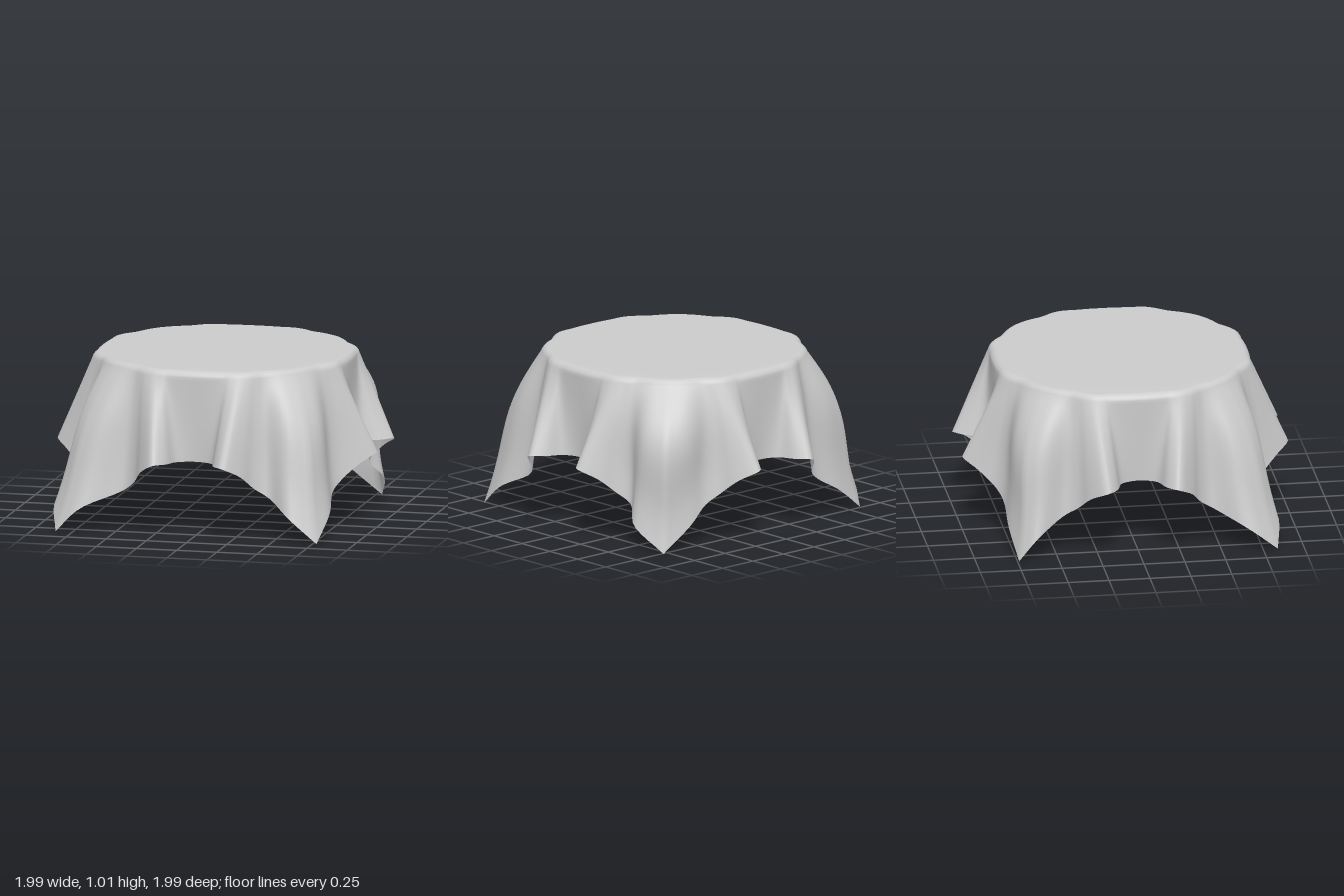
import * as THREE from 'three';

const TOP = 1.01, ROLL = 0.05;
const SIDE_STEPS = 72, SKIRT_ROWS = 28, ROLL_ROWS = 6;

// One half of a hem side: [along, outward, height, rim angle in degrees, rim radius, share of corner bulge]
const HALF_HEM = [
  [0.46, 0.78, 0.252, 31, 0.79, 0.3],
  [0.375, 0.82, 0.315, 27, 0.798, 0.15],
  [0.31, 0.91, 0.40, 23.5, 0.808, 0.1],
  [0.215, 0.995, 0.46, 19.5, 0.812, 0],
  [0.15, 0.93, 0.46, 15.5, 0.802, 0],
  [0.105, 0.81, 0.455, 11.5, 0.79, 0],
];

// Hanging corners in plan (x, z): the tip, the hem beside it, and how far the cloth billows
const CORNERS = [
  { before: [-0.90, 0.66], tip: [-0.855, 0.84], after: [-0.70, 0.865], bulge: 0.045 },
  { before: [0.61, 0.89], tip: [0.775, 0.86], after: [0.81, 0.67], bulge: 0.05 },
  { before: [0.845, -0.56], tip: [0.785, -0.76], after: [0.58, -0.785], bulge: 0.11 },
  { before: [-0.64, -0.775], tip: [-0.845, -0.74], after: [-0.88, -0.63], bulge: 0.065 },
];

// Hem curve of one side of the cloth, with matching rim angles, rim radii and bulges
function hemSide(k) {
  const turn = k * Math.PI / 2;
  const s = Math.round(Math.sin(turn)), c = Math.round(Math.cos(turn));
  const start = CORNERS[k], end = CORNERS[(k + 1) % 4];
  const points = [], fall = [];
  const add = (x, y, z, deg, edge, bulge) => {
    points.push(new THREE.Vector3(x, y, z));
    fall.push(new THREE.Vector3(turn + THREE.MathUtils.degToRad(deg), edge, bulge));
  };
  const addLocal = (along, out, y, deg, edge, bulge) =>
    add(along * c + out * s, y, out * c - along * s, deg, edge, bulge);

  add(start.tip[0], 0, start.tip[1], -45, 0.81, start.bulge);
  add(start.after[0], 0.15, start.after[1], -38, 0.803, start.bulge * 0.8);
  for (const [a, o, y, d, e, b] of HALF_HEM) addLocal(-a, o, y, -d, e, b * start.bulge);
  addLocal(0, 0.772, 0.455, 0, 0.782, 0);
  for (const [a, o, y, d, e, b] of [...HALF_HEM].reverse()) addLocal(a, o, y, d, e, b * end.bulge);
  add(end.before[0], 0.15, end.before[1], 38, 0.803, end.bulge * 0.8);
  add(end.tip[0], 0, end.tip[1], 45, 0.81, end.bulge);
  return {
    hem: new THREE.CatmullRomCurve3(points),
    fall: new THREE.CatmullRomCurve3(fall, false, 'catmullrom'),
  };
}

// One strand of cloth from the table centre, over the rim and down to the hem
function strand(hem, angle, edge, bulge) {
  const dx = Math.sin(angle), dz = Math.cos(angle);
  const at = (r, y) => new THREE.Vector3(dx * r, y, dz * r);
  const line = [0, 0.35, 0.6].map((r) => at(r, TOP));
  for (let i = 0; i <= ROLL_ROWS; i++) {
    const a = (i / ROLL_ROWS) * Math.PI * 0.42;
    line.push(at(edge - ROLL * (1 - Math.sin(a)), TOP - ROLL * (1 - Math.cos(a))));
  }
  const rim = line[line.length - 1];
  for (let i = 1; i <= SKIRT_ROWS; i++) {
    const t = i / SKIRT_ROWS;
    // Billows high up and flares again at the hem
    const billow = bulge * (Math.sin(Math.PI * t) + 0.4 * Math.sin(2 * Math.PI * t));
    line.push(at(billow, 0).add(new THREE.Vector3().lerpVectors(rim, hem, t)));
  }
  return line;
}

function clothGeometry() {
  const strands = [];
  for (let k = 0; k < 4; k++) {
    const { hem, fall } = hemSide(k);
    for (let i = 0; i < SIDE_STEPS; i++) {
      const u = i / SIDE_STEPS;
      const { x: angle, y: edge, z: bulge } = fall.getPoint(u);
      strands.push(strand(hem.getPoint(u), angle, edge, bulge));
    }
  }
  const rows = strands[0].length, cols = strands.length;
  const index = [];
  for (let c = 0; c < cols; c++) {
    for (let r = 0; r < rows - 1; r++) {
      const a = c * rows + r, b = ((c + 1) % cols) * rows + r;
      if (r > 0) index.push(a, a + 1, b);
      index.push(b, a + 1, b + 1);
    }
  }
  const geometry = new THREE.BufferGeometry().setFromPoints(strands.flat());
  geometry.setIndex(index);
  geometry.computeVertexNormals();
  return geometry;
}

export function createModel() {
  const group = new THREE.Group();
  group.name = 'drapedTablecloth';
  const material = new THREE.MeshStandardMaterial({ color: 0xcccccc, side: THREE.DoubleSide });
  const cloth = new THREE.Mesh(clothGeometry(), material);
  cloth.name = 'cloth';
  group.add(cloth);
  return group;
}
